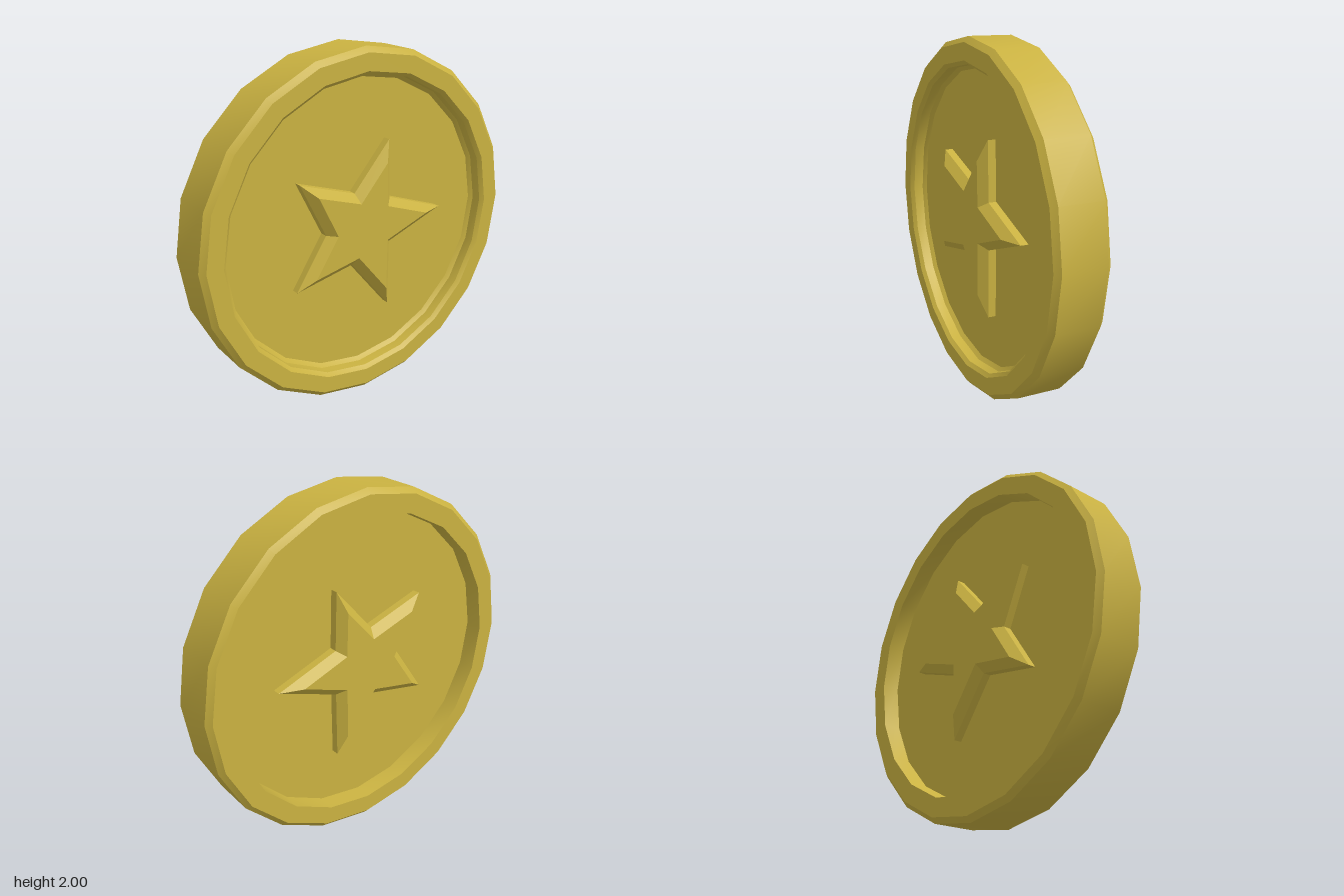
import * as THREE from 'three';
import { toCreasedNormals } from 'three/addons/utils/BufferGeometryUtils.js';

const SIDES = 20;
const RIM = 0.153;
const FLOOR = 0.055;

// Slightly uneven hand-cut star outline [x, y], tips and notches in turn
const STAR = [
  [0.555, 0.01], [0.188, 0.143], [0.178, 0.478], [-0.053, 0.213], [-0.398, 0.327],
  [-0.241, 0.011], [-0.43, -0.277], [-0.07, -0.203], [0.183, -0.515], [0.188, -0.123],
].map(([x, y]) => new THREE.Vector2(x, y));

// Outline moved inward by the same distance along every edge
function inset(outline, distance) {
  const n = outline.length;
  return outline.map((p, i) => {
    const inward = (a, b) => new THREE.Vector2(a.y - b.y, b.x - a.x).normalize();
    const n1 = inward(outline[(i + n - 1) % n], p);
    const n2 = inward(p, outline[(i + 1) % n]);
    return n1.clone().add(n2).multiplyScalar(distance / (1 + n1.dot(n2))).add(p);
  });
}

// Raised star: upright wall, sloped bevel, flat cap. dir is +1 (front) or -1 (back)
function starGeometry(dir) {
  const rings = [
    [STAR, FLOOR],
    [STAR, 0.1],
    [inset(STAR, 0.045), 0.145],
  ].map(([outline, z]) => outline.map((p) => [p.x, p.y, dir * z]));
  const positions = [];
  const tri = (a, b, c) => positions.push(...a, ...(dir > 0 ? b : c), ...(dir > 0 ? c : b));
  const n = STAR.length;
  const top = rings[rings.length - 1];
  const centre = [0, 0, top[0][2]];
  for (let i = 0; i < n; i++) {
    const j = (i + 1) % n;
    for (let r = 0; r < rings.length - 1; r++) {
      const lower = rings[r], upper = rings[r + 1];
      tri(lower[i], lower[j], upper[j]);
      tri(lower[i], upper[j], upper[i]);
    }
    tri(centre, top[i], top[j]);
  }
  const geometry = new THREE.BufferGeometry();
  geometry.setAttribute('position', new THREE.Float32BufferAttribute(positions, 3));
  geometry.computeVertexNormals();
  return geometry;
}

// Disc with bevelled rim; profile runs from the back centre round to the front centre
function discGeometry() {
  const profile = [
    // plain recess at the back
    [0, -FLOOR], [0.86, -FLOOR], [0.865, -RIM],
    // bevelled outer rim
    [0.97, -RIM], [1, -0.125], [1, 0.125], [0.97, RIM],
    // stepped recess at the front
    [0.875, RIM], [0.855, 0.132], [0.855, 0.076], [0.835, FLOOR], [0, FLOOR],
  ].map(([r, z]) => new THREE.Vector2(r, z));
  const geometry = new THREE.LatheGeometry(profile, SIDES);
  geometry.rotateX(Math.PI / 2);
  return toCreasedNormals(geometry, 0.45);
}

export function createModel() {
  const gold = new THREE.MeshStandardMaterial({ color: 0xcab241 });
  const model = new THREE.Group();
  model.name = 'coin';

  const add = (name, geometry) => {
    const mesh = new THREE.Mesh(geometry, gold);
    mesh.name = name;
    mesh.position.y = 1;
    model.add(mesh);
  };

  add('disc', discGeometry());
  add('frontStar', starGeometry(1));
  add('backStar', starGeometry(-1));
  return model;
}
